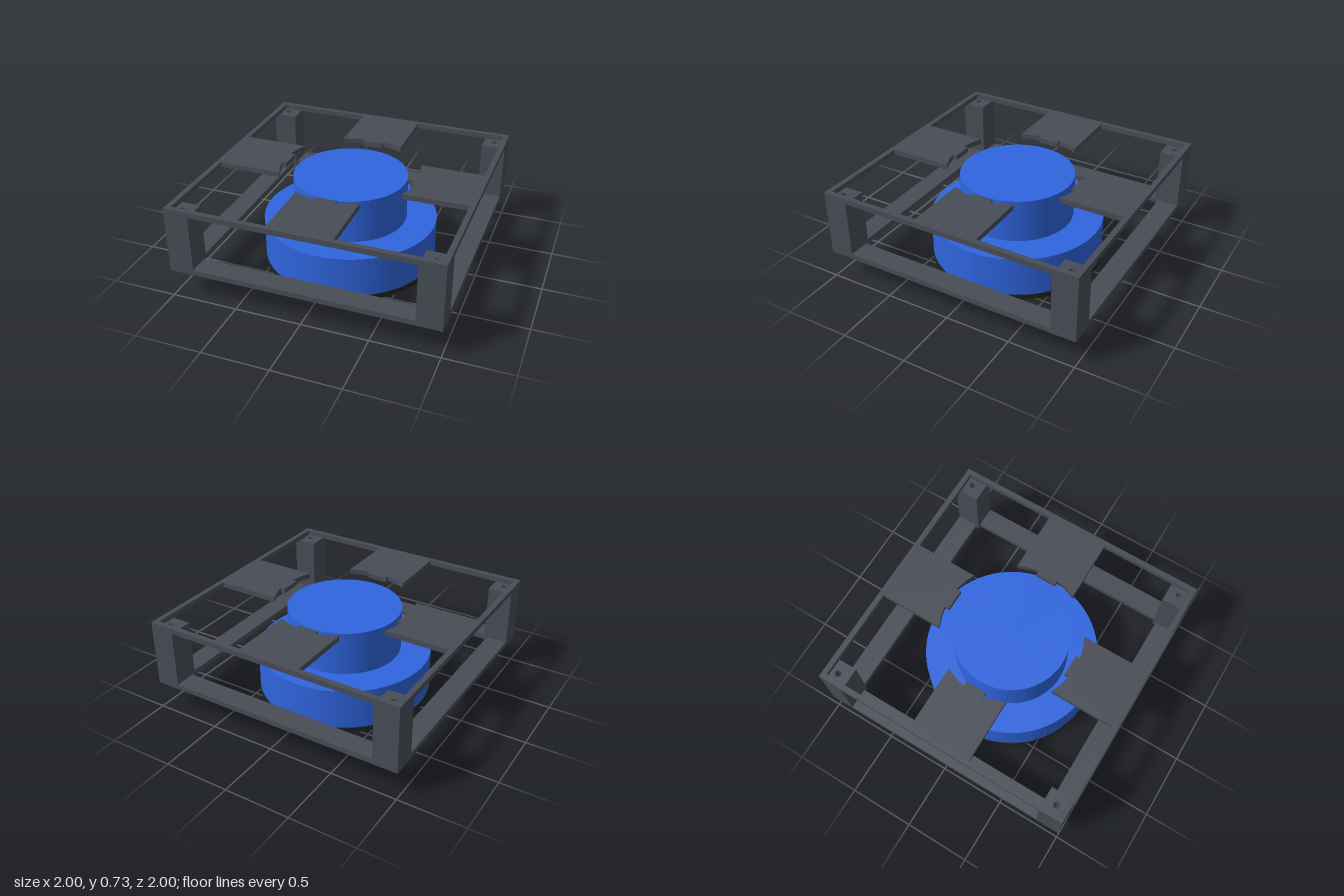
import * as THREE from 'three';

const frameMat = new THREE.MeshStandardMaterial({ name: 'charcoal frame', color: 0x484c55, flatShading: true });
const drumMat = new THREE.MeshStandardMaterial({ name: 'blue drum', color: 0x2f65df, flatShading: true });
const sealMat = new THREE.MeshStandardMaterial({ name: 'black seal', color: 0x1b2423, flatShading: true });

const V = (x, y) => new THREE.Vector2(x, y);
const POST = 0.815, BOLT = 0.907, BOLT_R = 0.024;

// Repeat one side's outline around the four sides of the square
function fourSides(points) {
  const out = [];
  for (let k = 0; k < 4; k++) {
    for (const p of points) out.push(p.clone().rotateAround(V(0, 0), k * Math.PI / 2));
  }
  return out;
}

function rect(x0, y0, x1, y1) {
  return new THREE.Shape([V(x0, y0), V(x1, y0), V(x1, y1), V(x0, y1)]);
}

function addBoltHole(shape, x, y) {
  shape.holes.push(new THREE.Path().absarc(x, y, BOLT_R, 0, Math.PI * 2, true));
}

// Horizontal slab from a plan outline, between two heights
function slab(name, shape, y0, y1) {
  const geo = new THREE.ExtrudeGeometry(shape, { depth: y1 - y0, bevelEnabled: false, curveSegments: 12 });
  geo.rotateX(-Math.PI / 2).translate(0, y0, 0);
  const mesh = new THREE.Mesh(geo, frameMat);
  mesh.name = name;
  return mesh;
}

function turned(name, profile, material) {
  const mesh = new THREE.Mesh(new THREE.LatheGeometry(profile.map(([r, y]) => V(r, y)), 72), material);
  mesh.name = name;
  return mesh;
}

export function createModel() {
  const model = new THREE.Group();
  model.name = 'framedDrum';

  // Thin top rim with four toothed tabs reaching towards the drum
  const arc = [];
  const a0 = Math.asin(0.24 / 0.53), a1 = Math.asin(0.08 / 0.53);
  for (let i = 0; i <= 5; i++) {
    const a = a0 + (a1 - a0) * i / 5;
    arc.push(V(0.53 * Math.sin(a), 0.53 * Math.cos(a)));
  }
  const half = [V(0.24, 0.96), ...arc, V(0.08, 0.49)];
  const mirrored = half.map(p => V(-p.x, p.y)).reverse();
  const top = rect(-1, -1, 1, 1);
  top.holes.push(new THREE.Path(fourSides([V(0.96, 0.96), ...half, ...mirrored])));
  model.add(slab('topFrame', top, 0.685, 0.725));

  // Wider bottom frame, thickened at the corners under the posts
  const bottom = rect(-1, -1, 1, 1);
  bottom.holes.push(new THREE.Path(fourSides([V(POST, POST), V(POST, 0.84), V(-POST, 0.84)])));
  for (const sx of [-1, 1]) for (const sz of [-1, 1]) addBoltHole(bottom, sx * BOLT, sz * BOLT);
  model.add(slab('bottomFrame', bottom, 0.215, 0.255));

  // Corner posts, bored through for bolts
  const posts = new THREE.Group();
  posts.name = 'cornerPosts';
  for (const sx of [-1, 1]) for (const sz of [-1, 1]) {
    const s = rect(Math.min(sx, sx * POST), Math.min(sz, sz * POST), Math.max(sx, sx * POST), Math.max(sz, sz * POST));
    addBoltHole(s, sx * BOLT, sz * BOLT);
    posts.add(slab('cornerPost', s, 0.255, 0.685));
  }
  model.add(posts);

  // Stepped drum, hollow from below with a round recess in its ceiling
  model.add(turned('drum', [
    [0, 0.34], [0.28, 0.34], [0.28, 0.25], [0.59, 0.25], [0.59, 0.04],
    [0.66, 0.04], [0.66, 0.35], [0.43, 0.35], [0.43, 0.685], [0, 0.685],
  ], drumMat));

  // Dark ring around the drum's open mouth
  model.add(turned('sealRing', [[0.59, 0.04], [0.59, 0], [0.665, 0], [0.665, 0.04], [0.59, 0.04]], sealMat));

  return model;
}
